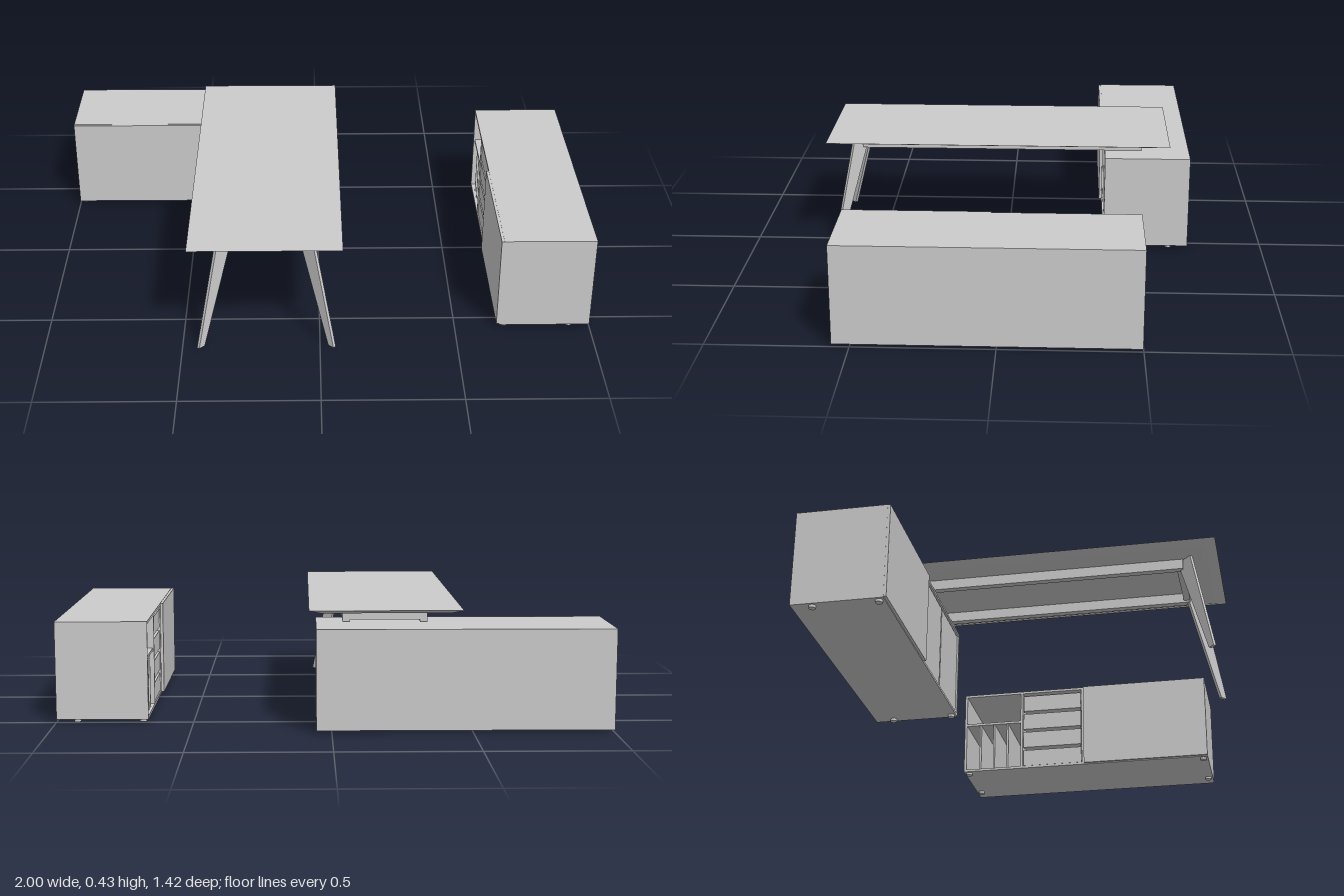
import * as THREE from 'three';

const grey = new THREE.MeshStandardMaterial({ color: 0xcccccc, flatShading: true });

function mesh(parent, name, geometry) {
  const m = new THREE.Mesh(geometry, grey);
  m.name = name;
  parent.add(m);
  return m;
}

// Box given by its minimum and maximum corners
function box(parent, name, x0, x1, y0, y1, z0, z1) {
  const m = mesh(parent, name, new THREE.BoxGeometry(x1 - x0, y1 - y0, z1 - z0));
  m.position.set((x0 + x1) / 2, (y0 + y1) / 2, (z0 + z1) / 2);
  return m;
}

const BASE = 0.01, TOP = 0.37, T = 0.01;

// Open-fronted carcass on small feet: back at z = 0, front at z = depth
function cabinet(name, w, depth) {
  const g = new THREE.Group();
  g.name = name;
  const h = w / 2;
  box(g, 'cabinetTop', -h, h, TOP - T, TOP, 0, depth);
  box(g, 'cabinetBottom', -h, h, BASE, BASE + T, 0, depth);
  box(g, 'cabinetBack', -h + T, h - T, BASE + T, TOP - T, 0, T);
  for (const s of [-1, 1]) {
    const x = s * (h - T / 2);
    box(g, 'cabinetSide', x - T / 2, x + T / 2, BASE + T, TOP - T, 0, depth);
    for (const z of [0.075, depth - 0.02]) {
      const foot = mesh(g, 'foot', new THREE.CylinderGeometry(0.013, 0.013, BASE, 16));
      foot.position.set(s * (h - 0.02), BASE / 2, z);
    }
  }
  return g;
}

// Cabinet carrying the desk: one wide front panel and two recessed doors
function returnCabinet() {
  const D = 0.33;
  const g = cabinet('returnCabinet', 1.055, D);
  box(g, 'widePanel', -0.527, 0.003, 0.014, 0.369, D, D + 0.01);
  box(g, 'divider', 0.003, 0.011, 0.02, 0.36, T, D);
  box(g, 'leftDoor', 0.014, 0.254, 0.022, 0.356, D - 0.018, D - 0.006);
  box(g, 'rightDoor', 0.262, 0.515, 0.022, 0.356, D - 0.018, D - 0.006);
  g.position.set(-0.473, 0, -0.71);
  return g;
}

// Side cabinet: open pigeonholes, a bank of drawers and a sliding door
function sideCabinet() {
  const D = 0.335;
  const g = cabinet('sideCabinet', 1.06, D);
  box(g, 'slidingDoor', 0, 0.53, 0.014, 0.369, D, D + 0.01);
  box(g, 'divider', -0.01, 0, 0.02, 0.36, T, D);
  box(g, 'divider', -0.28, -0.27, 0.02, 0.36, T, D);
  // Drawers with grip gaps above each front
  const pitch = 0.34 / 4;
  for (let i = 0; i < 4; i++) {
    const y = 0.022 + i * pitch;
    box(g, 'drawerFront', -0.267, -0.013, y, y + pitch - 0.014, D - 0.016, D - 0.004);
    box(g, 'drawerBody', -0.262, -0.018, y, y + pitch - 0.025, 0.03, D - 0.016);
  }
  // Shelf with upright dividers below it
  box(g, 'shelf', -0.52, -0.28, 0.225, 0.235, T, D - 0.005);
  for (let i = 1; i < 4; i++) {
    const x = -0.52 + i * 0.06;
    box(g, 'pigeonholeDivider', x - 0.004, x + 0.004, 0.02, 0.225, T, D - 0.01);
  }
  g.rotation.y = -Math.PI / 2;
  g.position.set(1, 0, 0.032);
  return g;
}

// Slab whose underside is smaller than its top
function bevelledTop(w, h, d, inset) {
  const geo = new THREE.BoxGeometry(w, h, d);
  const p = geo.attributes.position;
  for (let i = 0; i < p.count; i++) {
    if (p.getY(i) < 0) {
      p.setX(i, p.getX(i) - Math.sign(p.getX(i)) * inset);
      p.setZ(i, p.getZ(i) - Math.sign(p.getZ(i)) * inset);
    }
  }
  geo.computeVertexNormals();
  return geo;
}

function desk() {
  const g = new THREE.Group();
  g.name = 'desk';
  const top = mesh(g, 'desktop', bevelledTop(0.55, 0.014, 1.335, 0.04));
  top.position.set(-0.195, 0.418, 0.0385);

  // Under-frame
  const cx = -0.195;
  for (const s of [-1, 1]) {
    const x = cx + s * 0.14;
    box(g, 'sideRail', x - 0.013, x + 0.013, 0.372, 0.411, -0.525, 0.575);
  }
  box(g, 'frontRail', cx - 0.127, cx + 0.127, 0.38, 0.411, 0.55, 0.575);
  box(g, 'backRail', cx - 0.127, cx + 0.127, 0.38, 0.411, -0.525, -0.5);

  // Tapered plate legs splayed along the diagonals
  const k = Math.SQRT2, t = 0.012;
  const shape = new THREE.Shape([
    [-0.005, 0.411], [-0.005, 0.375], [0.094, 0], [0.113, 0], [0.037, 0.411],
  ].map(([d, y]) => new THREE.Vector2(d * k, y)));
  const legGeo = new THREE.ExtrudeGeometry(shape, { depth: t, bevelEnabled: false });
  legGeo.translate(0, 0, -t / 2);
  for (const s of [-1, 1]) {
    const leg = mesh(g, s > 0 ? 'leftLeg' : 'rightLeg', legGeo);
    leg.position.set(cx + s * 0.135, 0, 0.572);
    leg.rotation.y = s > 0 ? -Math.PI / 4 : -3 * Math.PI / 4;
  }
  return g;
}

export function createModel() {
  const model = new THREE.Group();
  model.name = 'officeDeskSet';
  model.add(desk(), returnCabinet(), sideCabinet());
  return model;
}
